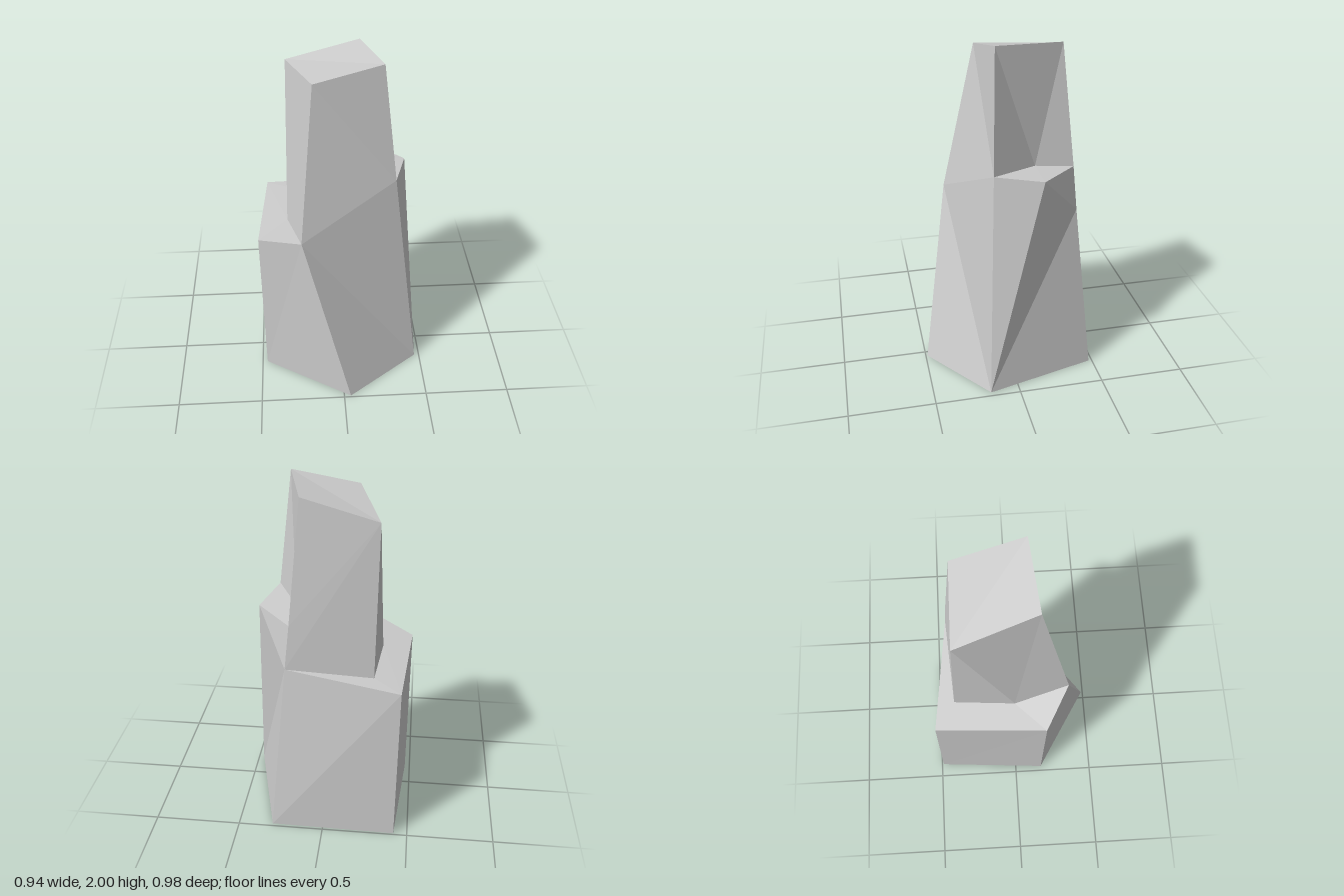
import * as THREE from 'three';

// Corners of the rock: base, lower ledge, upper ledge, crown
const corners = {
  baseFront: [0.04, 0, 0.49], baseLeft: [0.47, 0, 0.17], baseBackLeft: [0.30, 0, -0.48],
  baseBackRight: [-0.42, 0, -0.49], baseRight: [-0.47, 0, 0.17],
  lowFront: [-0.23, 1.04, 0.315], lowOuter: [-0.475, 0.975, 0.175], lowBack: [-0.43, 0.95, -0.465],
  lowEnd: [0.215, 1.02, -0.385], lowInner: [-0.307, 0.99, 0], lowInnerBack: [-0.275, 0.975, -0.35],
  highFront: [0.31, 1.31, 0.115], highOuter: [0.387, 1.29, -0.15],
  highBack: [0.19, 1.28, -0.365], highInner: [0.178, 1.297, -0.145],
  topBackRight: [-0.287, 1.86, -0.31], topFrontRight: [-0.15, 1.92, 0.135],
  topFrontLeft: [0.228, 2, 0.09], topBackLeft: [0.13, 1.975, -0.30],
};

const material = new THREE.MeshStandardMaterial({
  color: 0xcccccc, flatShading: true, side: THREE.DoubleSide,
});

// Builds a faceted mesh; each facet is a fan of named corners, counter-clockwise
function facets(name, list) {
  const positions = [];
  for (const facet of list) {
    const [a, ...rest] = facet.split(' ').map((key) => corners[key]);
    for (let i = 0; i + 1 < rest.length; i++) positions.push(...a, ...rest[i], ...rest[i + 1]);
  }
  const geometry = new THREE.BufferGeometry();
  geometry.setAttribute('position', new THREE.Float32BufferAttribute(positions, 3));
  geometry.computeVertexNormals();
  const mesh = new THREE.Mesh(geometry, material);
  mesh.name = name;
  return mesh;
}

export function createModel() {
  const rock = new THREE.Group();
  rock.name = 'rockPillar';
  rock.add(
    // Broad lower walls, open underneath
    facets('lowerWalls', [
      'lowFront baseFront baseLeft highFront',
      'lowFront lowOuter baseRight baseFront',
      'lowOuter lowBack baseBackRight baseRight',
      'lowBack lowEnd baseBackLeft baseBackRight',
      'highFront baseLeft highOuter',
      'highOuter baseLeft lowEnd',
      'lowEnd baseLeft baseBackLeft',
      'highBack highOuter lowEnd',
    ]),
    // Step running round the right and back
    facets('lowerLedge', [
      'lowOuter lowFront lowInner lowBack',
      'lowBack lowInner lowInnerBack lowEnd',
    ]),
    // Higher step on the left
    facets('upperLedge', [
      'highFront highOuter highInner',
      'highInner highOuter highBack',
    ]),
    // Tapering upper walls
    facets('upperWalls', [
      'topFrontRight lowFront highFront topFrontLeft',
      'topFrontRight topBackRight lowInner lowFront',
      'topBackRight lowInnerBack lowInner',
      'topBackRight topBackLeft highBack lowEnd lowInnerBack',
      'topFrontLeft highFront highInner topBackLeft',
      'topBackLeft highInner highBack',
    ]),
    // Sloping crown
    facets('crown', ['topBackRight topFrontRight topFrontLeft topBackLeft']),
  );
  return rock;
}
